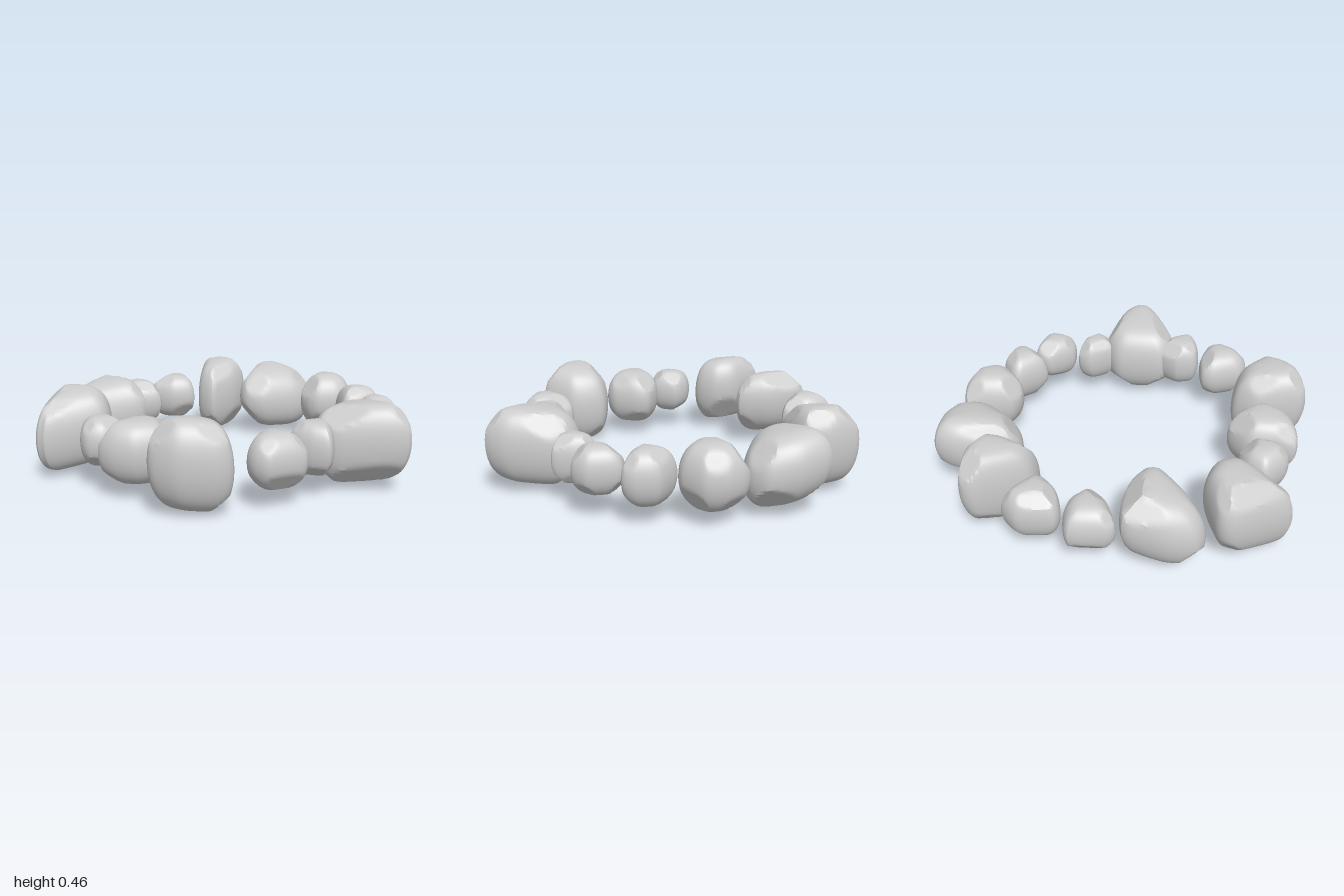
import * as THREE from 'three';
import { toCreasedNormals } from 'three/addons/utils/BufferGeometryUtils.js';

const SEGMENTS = 60, LAYERS = 26;
const material = new THREE.MeshStandardMaterial({ color: 0xcccccc });

function seeded(seed) {
  let s = seed * 7919 + 17;
  return () => (s = (s * 16807) % 2147483647) / 2147483647;
}

// One boulder: a plan outline (clockwise seen from above) swollen into a dome above and below,
// sheared so its top slopes along x and z, chipped by slanted planes, then set between two heights.
function boulder(outline, [bottom, top], [slopeX, slopeZ], power, seed) {
  const rnd = seeded(seed);
  rnd(); rnd();
  const curve = new THREE.CatmullRomCurve3(
    outline.map(([x, z]) => new THREE.Vector3(x, 0, z)), true, 'catmullrom', 0.35);
  const ring = curve.getSpacedPoints(SEGMENTS).slice(0, SEGMENTS);
  const centre = ring.reduce((a, p) => a.add(p), new THREE.Vector3()).divideScalar(SEGMENTS);

  // Stacked rings, relative to the centre
  const points = [];
  for (let j = 0; j <= LAYERS; j++) {
    const t = (j / LAYERS - 0.5) * Math.PI;
    const r = j % LAYERS === 0 ? 0 : Math.pow(Math.cos(t), power);
    for (const p of ring) {
      const x = (p.x - centre.x) * r, z = (p.z - centre.z) * r;
      points.push(new THREE.Vector3(x, Math.sin(t) * (top - bottom) / 2 + slopeX * x + slopeZ * z, z));
    }
  }

  // Flat slanted chips, alternating between the upper and lower shoulders
  const turn = rnd() * Math.PI * 2;
  for (let k = 0; k < 6; k++) {
    const a = turn + k * 2.4, up = (k % 2 ? -1 : 1) * (0.6 + rnd() * 0.6);
    const n = new THREE.Vector3(Math.cos(a), up, Math.sin(a)).normalize();
    const limit = Math.max(...points.map((p) => p.dot(n))) * (0.88 + rnd() * 0.07);
    for (const p of points) {
      const reach = p.dot(n);
      if (reach > limit) p.multiplyScalar(limit / reach);
    }
  }

  // Settle the height range
  const low = Math.min(...points.map((p) => p.y)), high = Math.max(...points.map((p) => p.y));
  for (const p of points) p.y = bottom + (p.y - low) / (high - low) * (top - bottom);

  const index = [];
  for (let j = 0; j < LAYERS; j++) {
    for (let i = 0; i < SEGMENTS; i++) {
      const a = j * SEGMENTS + i, b = j * SEGMENTS + (i + 1) % SEGMENTS;
      const c = b + SEGMENTS, d = a + SEGMENTS;
      if (j < LAYERS - 1) index.push(a, d, c);
      if (j > 0) index.push(a, c, b);
    }
  }
  const geometry = new THREE.BufferGeometry().setFromPoints(points);
  geometry.setIndex(index);
  const mesh = new THREE.Mesh(toCreasedNormals(geometry, 0.45), material);
  mesh.position.set(centre.x, 0, centre.z);
  return mesh;
}

export function createModel() {
  const group = new THREE.Group();
  group.name = 'stoneRing';
  let seed = 0;
  const add = (name, heights, slopes, power, ...outline) => {
    const mesh = boulder(outline, heights, slopes, power, ++seed);
    mesh.name = name;
    group.add(mesh);
  };

  // Front stone, then round the ring by the left side
  add('frontStone', [0.03, 0.45], [0, 0.1], 0.48, [-.12, .52], [.13, .51], [.22, .6],
    [.22, .72], [.14, .92], [.04, 1], [-.05, .92], [-.18, .71], [-.19, .6]);
  add('frontLeftSmallStone', [0.1, 0.36], [0, 0], 0.6, [.19, .55], [.3, .48], [.38, .51],
    [.37, .62], [.32, .72], [.21, .67], [.17, .58]);
  add('frontLeftStone', [0.12, 0.37], [0, 0], 0.68, [.41, .52], [.54, .42], [.63, .45],
    [.64, .51], [.61, .63], [.53, .68], [.42, .62]);
  add('leftFrontStone', [0.09, 0.38], [0, 0], 0.72, [.54, .33], [.67, .21], [.73, .22],
    [.8, .33], [.77, .45], [.71, .49], [.58, .41]);
  add('leftMiddleStone', [0.07, 0.41], [0, 0], 0.72, [.62, .04], [.67, -.04], [.9, -.08],
    [.95, .04], [.92, .16], [.8, .23], [.71, .2], [.63, .11]);
  add('leftLargeStone', [0.04, 0.43], [0.1, -0.2], 0.6, [.52, -.36], [.58, -.45], [.82, -.52],
    [.95, -.49], [.98, -.32], [.94, -.16], [.85, -.1], [.74, -.12], [.56, -.25]);
  add('backLeftLargeStone', [0.02, 0.46], [0.15, 0], 0.5, [.38, -.57], [.41, -.66],
    [.64, -.82], [.73, -.79], [.75, -.63], [.69, -.5], [.56, -.48], [.4, -.52]);
  add('backLeftSmallStone', [0.1, 0.37], [0, 0], 0.6, [.21, -.85], [.24, -.91], [.41, -.93],
    [.5, -.86], [.47, -.78], [.36, -.66], [.25, -.74]);

  // Back stones and the right side, returning to the front
  add('backStone', [0.1, 0.37], [0, 0], 0.7, [-.07, -.93], [-.02, -.98], [.15, -1],
    [.19, -.9], [.18, -.81], [.1, -.71], [-.01, -.79]);
  add('backRightStone', [0.04, 0.44], [0.25, 0], 0.55, [-.49, -.86], [-.45, -.95],
    [-.31, -.99], [-.11, -.97], [-.08, -.86], [-.1, -.71], [-.18, -.57], [-.26, -.59], [-.4, -.72]);
  add('backRightLargeStone', [0.03, 0.46], [0.22, -0.05], 0.52, [-.89, -.66], [-.88, -.71],
    [-.64, -.88], [-.54, -.87], [-.46, -.68], [-.49, -.54], [-.61, -.47], [-.87, -.62]);
  add('rightSmallStone', [0.11, 0.37], [0, 0], 0.65, [-.88, -.32], [-.86, -.39], [-.76, -.48],
    [-.66, -.43], [-.62, -.33], [-.71, -.22], [-.83, -.25]);
  add('rightMiddleStone', [0.07, 0.39], [0, 0], 0.58, [-.93, -.11], [-.91, -.21], [-.68, -.23],
    [-.56, -.13], [-.58, -.04], [-.67, .07], [-.76, .08], [-.88, 0]);
  add('rightLargeStone', [0, 0.46], [-0.15, 0], 0.55, [-.98, .2], [-.93, .14], [-.71, .1],
    [-.58, .16], [-.57, .27], [-.6, .37], [-.74, .49], [-.83, .46], [-.95, .33]);
  add('frontRightStone', [0.09, 0.37], [0, 0], 0.72, [-.64, .53], [-.6, .46], [-.45, .4],
    [-.38, .42], [-.36, .54], [-.39, .66], [-.46, .7], [-.62, .61]);
  add('frontRightSmallStone', [0.11, 0.38], [0, 0], 0.52, [-.35, .58], [-.33, .52], [-.22, .49],
    [-.11, .55], [-.13, .65], [-.23, .72], [-.3, .74], [-.34, .66]);
  return group;
}
